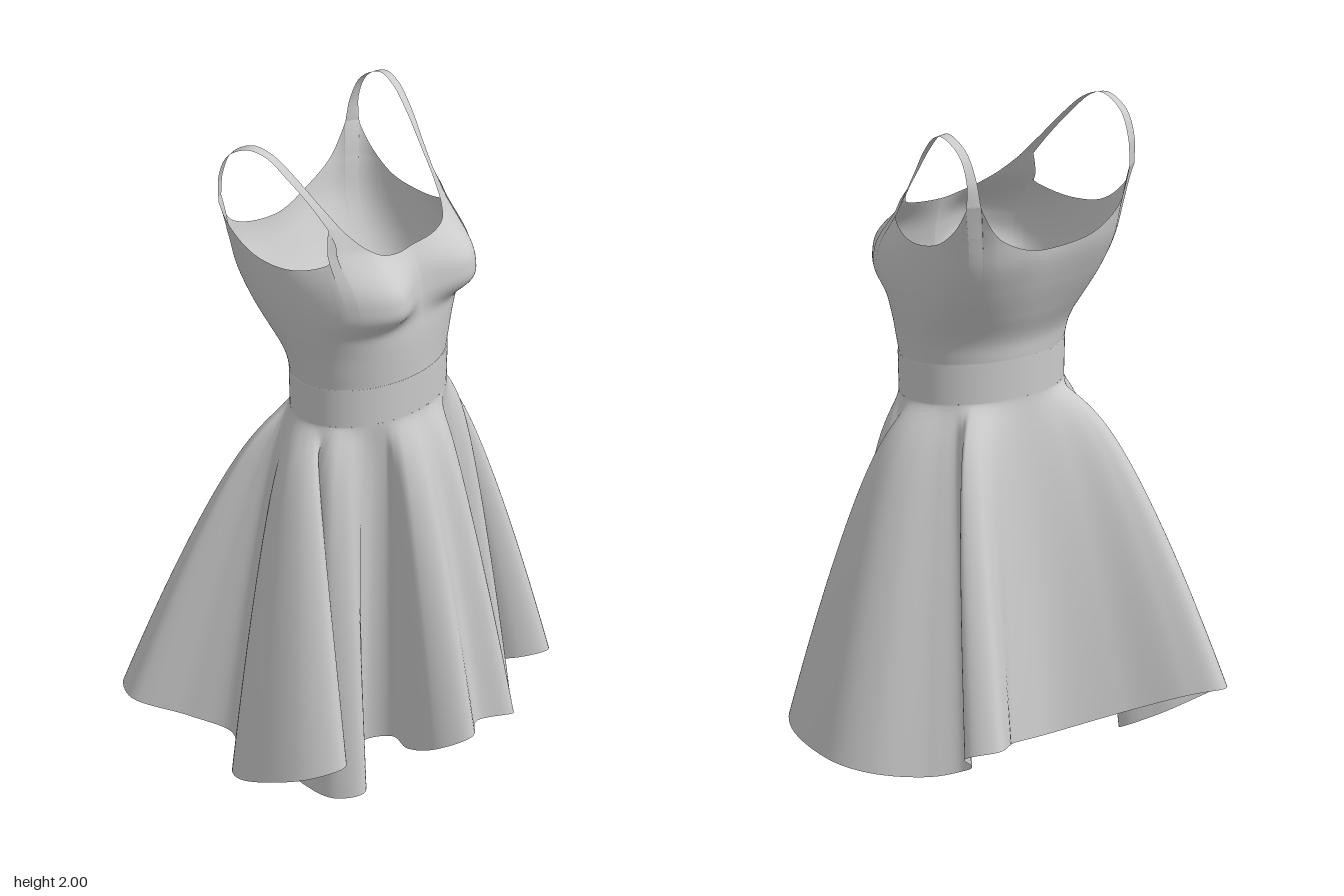
import * as THREE from 'three';
import { ParametricGeometry } from 'three/addons/geometries/ParametricGeometry.js';

const cloth = new THREE.MeshStandardMaterial({ color: 0xcccccc, side: THREE.DoubleSide });
const V = (x, y, z) => new THREE.Vector3(x, y, z);
const { lerp, radToDeg } = THREE.MathUtils;

// Surface from a rule: u runs round the body from the front centre, v runs upward
function sheet(name, rule, across, up) {
  const mesh = new THREE.Mesh(new ParametricGeometry(rule, across, up), cloth);
  mesh.name = name;
  return mesh;
}

// Closed curve from the left half, front centre to back centre
function mirroredLoop(half) {
  const other = half.slice(1, -1).reverse().map(p => V(-p.x, p.y, p.z));
  return new THREE.CatmullRomCurve3([...half, ...other], true, 'centripetal');
}

// Smooth lookup in a [y, value] table
function table(rows) {
  const curve = new THREE.CubicInterpolant(
    rows.map(r => r[0]), rows.map(r => r[1]), 1, new Float64Array(1));
  return y => curve.evaluate(y)[0];
}

const BAND_LOW = 1.13, BAND_TOP = 1.25;
const waistPoint = (deg, y, grow = 0) => {
  const a = deg * Math.PI / 180;
  return V((0.28 + grow) * Math.sin(a), y, 0.045 + (0.2 + grow) * Math.cos(a));
};

// Hem folds: x, y, z and the waist angle each one hangs from
const HEM = [
  [0, .16, .45, 0], [.10, .16, .505, 10], [.165, .12, .42, 20], [.145, .08, .30, 26],
  [.09, .07, .20, 32], [.14, .06, .14, 38], [.21, .05, .16, 44], [.28, .03, .24, 50],
  [.36, .015, .30, 56], [.42, .003, .23, 62], [.415, .02, .10, 67], [.39, .05, -.015, 71],
  [.38, .08, .03, 75], [.39, .12, .15, 79], [.43, .15, .28, 83], [.50, .16, .33, 87],
  [.58, .13, .25, 92], [.605, .08, .06, 100], [.54, .05, -.05, 110], [.39, .03, -.15, 120],
  [.32, .05, -.22, 128], [.39, .10, -.32, 134], [.525, .18, -.44, 140], [.46, .20, -.51, 146],
  [.37, .19, -.46, 152], [.22, .14, -.33, 162], [0, .10, -.24, 180],
];

function makeSkirt() {
  const hem = mirroredLoop(HEM.map(([x, y, z]) => V(x, y, z)));
  const waist = mirroredLoop(HEM.map(h => waistPoint(h[3], BAND_LOW)));
  return sheet('skirt', (u, v, out) => {
    const t = Math.pow(1 - v, 1.4);
    const top = waist.getPoint(u % 1), low = hem.getPoint(u % 1);
    // Leaves the waistband upright; the side folds swing out soonest
    const ease = 1 - Math.exp(-t / 0.045);
    const deg = radToDeg(Math.atan2(Math.abs(top.x) / 0.28, (top.z - 0.045) / 0.2));
    const sideways = 0.58 - 0.22 * Math.exp(-Math.pow((deg - 69) / 13, 2));
    out.set(
      lerp(top.x, low.x, ease * Math.pow(t, sideways)),
      lerp(top.y, low.y, t),
      lerp(top.z, low.z, ease * Math.pow(t, 0.78)));
  }, 400, 44);
}

// Waistband with its upper edge turned in to form the seam
function makeWaistband() {
  return sheet('waistband', (u, v, out) => {
    const y = lerp(BAND_LOW, BAND_TOP, Math.min(1, v * 1.2));
    const turn = Math.max(0, v * 1.2 - 1) * 5;
    out.copy(waistPoint(u * 360, y, 0.003 * Math.min(1, v * 1.2) - 0.014 * turn));
  }, 96, 12);
}

// Body measurements by height
const halfWidth = table([[1.25, .28], [1.33, .294], [1.42, .313], [1.5, .327], [1.6, .338], [1.7, .345]]);
const frontZ = table([[1.25, .244], [1.4, .247], [1.5, .235], [1.6, .222], [1.7, .2]]);
const backZ = table([[1.25, -.155], [1.31, -.163], [1.4, -.205], [1.5, -.25], [1.6, -.283], [1.7, -.288]]);
const squareness = table([[1.25, 1], [1.35, .9], [1.45, .72], [1.55, .62], [1.65, .6]]);
const power = (n, e) => Math.sign(n) * Math.pow(Math.abs(n), e);

function bodySection(a, y) {
  const mid = (frontZ(y) + backZ(y)) / 2, depth = (frontZ(y) - backZ(y)) / 2;
  const e = squareness(y);
  const p = V(halfWidth(y) * power(Math.sin(a), e), y, mid + depth * power(Math.cos(a), e));
  if (Math.cos(a) > 0) {
    // Bust: full and rounded below, fading toward the neckline
    const dx = (Math.abs(p.x) - 0.185) / 0.135;
    const dy = Math.abs(y - 1.55);
    const rise = y < 1.55 ? Math.pow(dy / 0.092, 3.6) : Math.pow(dy / 0.105, 2.4);
    p.z += 0.084 * Math.exp(-dx * dx - rise) * Math.min(1, Math.cos(a) * 2);
  }
  return p;
}

function angleOf(p) {
  const mid = (frontZ(p.y) + backZ(p.y)) / 2, depth = (frontZ(p.y) - backZ(p.y)) / 2;
  const e = 1 / squareness(p.y);
  return Math.atan2(power(p.x / halfWidth(p.y), e), power((p.z - mid) / depth, e));
}

// Neckline, strap roots, armhole and back edge
const TOP_EDGE = [
  V(0, 1.66, .212), V(.09, 1.665, .217), V(.15, 1.68, .205), V(.19, 1.71, .172),
  V(.224, 1.763, .118), V(.227, 1.77, .112), V(.259, 1.77, .092), V(.259, 1.763, .097),
  V(.262, 1.72, .125), V(.28, 1.68, .12), V(.31, 1.65, .06), V(.332, 1.64, -.02),
  V(.34, 1.66, -.12), V(.345, 1.72, -.20), V(.345, 1.79, -.247), V(.345, 1.80, -.25),
  V(.305, 1.80, -.27), V(.302, 1.79, -.272), V(.25, 1.70, -.285), V(.14, 1.64, -.295), V(0, 1.62, -.285),
];

function makeBodice() {
  const edge = mirroredLoop(TOP_EDGE);
  return sheet('bodice', (u, v, out) => {
    const rim = edge.getPoint(u % 1);
    const a = angleOf(rim);
    const shift = rim.clone().sub(bodySection(a, rim.y));
    out.copy(bodySection(a, lerp(BAND_TOP - 0.002, rim.y, v))).addScaledVector(shift, Math.pow(v, 4));
  }, 320, 56);
}

// Shoulder strap: ribbon between an inner and an outer edge, front to back
function makeStrap(name, side) {
  const inner = new THREE.CatmullRomCurve3([
    V(.227, 1.77, .112), V(.25, 1.84, .05), V(.275, 1.92, -.02), V(.295, 1.98, -.085),
    V(.31, 2.0, -.145), V(.315, 1.96, -.22), V(.312, 1.88, -.258), V(.305, 1.80, -.27)]);
  const outer = new THREE.CatmullRomCurve3([
    V(.259, 1.77, .092), V(.277, 1.84, .04), V(.305, 1.92, -.025), V(.325, 1.98, -.088),
    V(.34, 1.995, -.145), V(.345, 1.955, -.218), V(.345, 1.88, -.25), V(.345, 1.80, -.25)]);
  return sheet(name, (u, v, out) => {
    out.lerpVectors(inner.getPoint(v), outer.getPoint(v), side > 0 ? u : 1 - u);
    out.x *= side;
  }, 4, 48);
}

export function createModel() {
  const dress = new THREE.Group();
  dress.name = 'dress';
  dress.add(makeSkirt(), makeWaistband(), makeBodice(),
    makeStrap('leftStrap', 1), makeStrap('rightStrap', -1));
  return dress;
}
